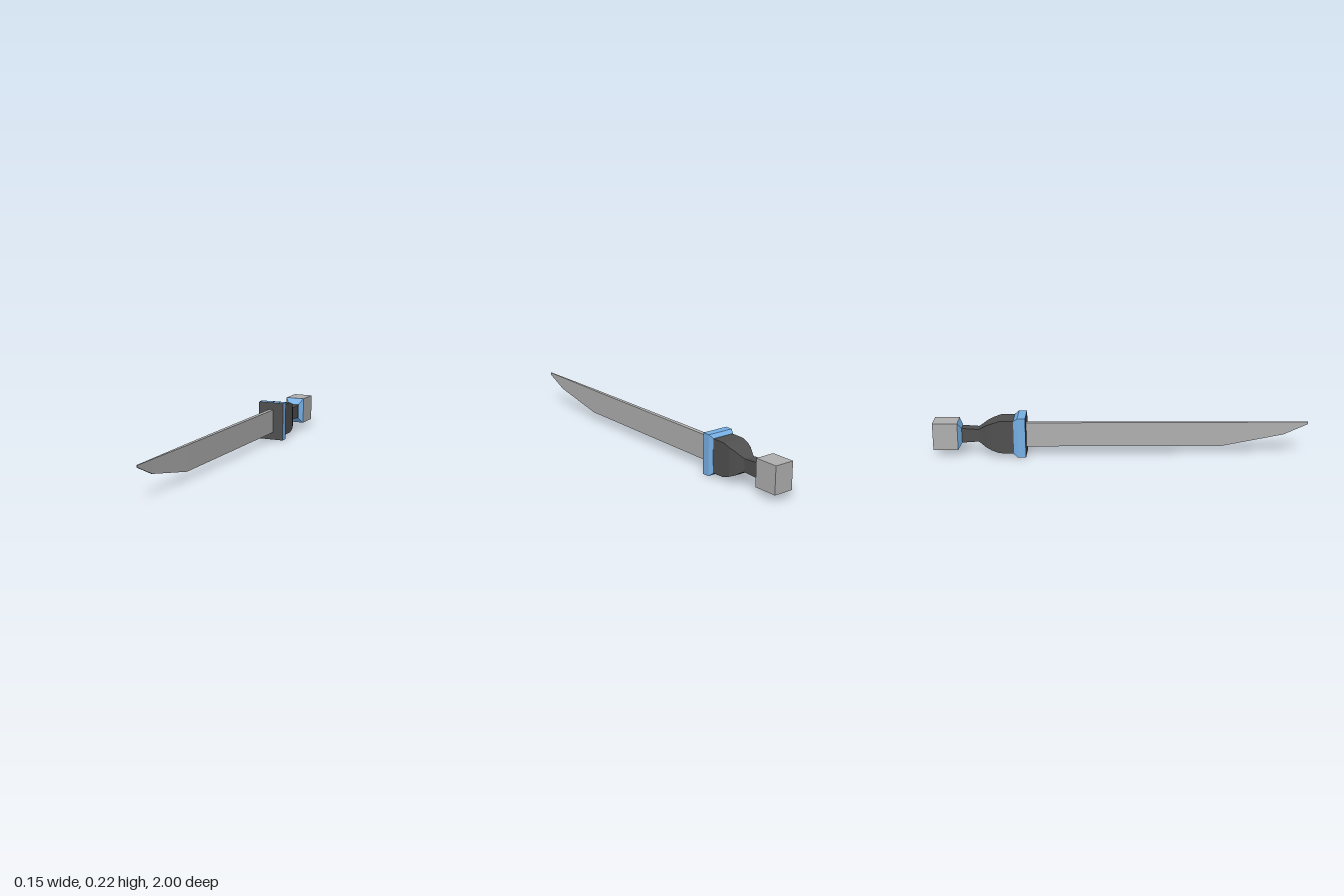
import * as THREE from 'three';

const mat = (name, color) => {
  const m = new THREE.MeshStandardMaterial({ color });
  m.name = name;
  return m;
};

// Flat-shaded loft through rectangular sections [z, halfWidth, bottom, top], listed back to front.
// Group 0 is the skin and the back cap, group 1 the front cap.
function loft(name, sections, skin, front = skin) {
  const rings = sections.map(([z, w, y0, y1]) => [[-w, y0, z], [w, y0, z], [w, y1, z], [-w, y1, z]]);
  const pos = [];
  const quad = (a, b, c, d) => pos.push(...a, ...b, ...c, ...a, ...c, ...d);
  for (let i = 0; i < rings.length - 1; i++) {
    for (let k = 0; k < 4; k++) {
      const n = (k + 1) % 4;
      quad(rings[i][k], rings[i][n], rings[i + 1][n], rings[i + 1][k]);
    }
  }
  quad(...[...rings[0]].reverse());
  const skinCount = pos.length / 3;
  quad(...rings[rings.length - 1]);

  const geo = new THREE.BufferGeometry();
  geo.setAttribute('position', new THREE.Float32BufferAttribute(pos, 3));
  geo.addGroup(0, skinCount, 0);
  geo.addGroup(skinCount, 6, 1);
  geo.computeVertexNormals();
  const mesh = new THREE.Mesh(geo, [skin, front]);
  mesh.name = name;
  return mesh;
}

export function createModel() {
  const steel = mat('steel grey', 0xb0b0b0);
  const dark = mat('dark grip', 0x505050);
  const blue = mat('blue trim', 0x76b0e6);

  const model = new THREE.Group();
  model.name = 'sword';

  // Single-edged blade, thinning towards the tip
  model.add(loft('blade', [
    [-0.51, 0.013, 0.042, 0.175],
    [0.54, 0.009, 0.042, 0.175],
    [0.87, 0.0045, 0.105, 0.175],
    [1.0, 0.003, 0.163, 0.175],
  ], steel));

  // Guard with a chamfered back and a dark front face
  model.add(loft('guard', [
    [-0.57, 0.064, 0.016, 0.201],
    [-0.548, 0.0745, 0, 0.217],
    [-0.506, 0.0745, 0, 0.217],
  ], blue, dark));

  // Grip: wide near the guard, curving in to a narrow neck
  const gripCentre = 0.11;
  model.add(loft('grip', [
    [-0.852, 0.03, 0.04],
    [-0.76, 0.03, 0.034],
    [-0.742, 0.038, 0.044],
    [-0.715, 0.051, 0.062],
    [-0.685, 0.06, 0.075],
    [-0.645, 0.062, 0.089],
    [-0.568, 0.062, 0.09],
  ].map(([z, w, h]) => [z, w, gripCentre - h, gripCentre + h]), dark));

  // Pommel block and its tapered collar
  model.add(loft('pommelCollar', [
    [-0.868, 0.055, 0.038, 0.185],
    [-0.848, 0.031, 0.069, 0.151],
  ], blue));
  model.add(loft('pommel', [
    [-1.0, 0.055, 0.038, 0.185],
    [-0.868, 0.055, 0.038, 0.185],
  ], steel));

  return model;
}
